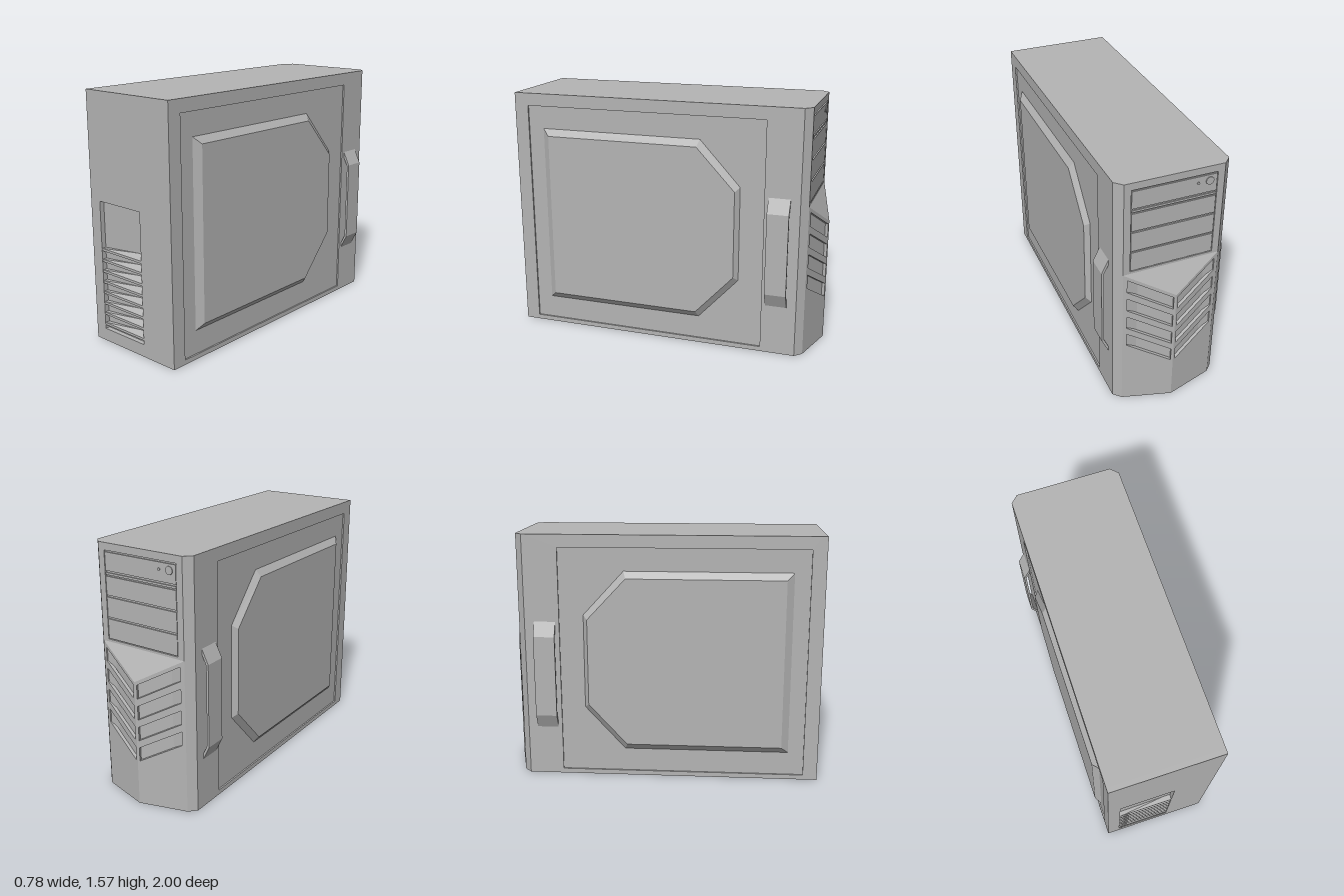
import * as THREE from 'three';

export function createModel() {
  const model = new THREE.Group();
  const grey = new THREE.MeshStandardMaterial({ color: 0xb4b4b4, side: THREE.DoubleSide });
  grey.name = 'case grey';

  const add = (name, geometry, parent = model) => {
    const mesh = new THREE.Mesh(geometry, grey);
    mesh.name = name;
    parent.add(mesh);
    return mesh;
  };
  const vecs = (pts) => pts.map(([x, y]) => new THREE.Vector2(x, y));
  const rect = (x0, y0, x1, y1) => [[x0, y0], [x1, y0], [x1, y1], [x0, y1]];
  // Plate from an outline with holes, running from local z = 0 to depth
  const plate = (outline, holes, depth) => {
    const shape = new THREE.Shape(vecs(outline));
    holes.forEach((h) => shape.holes.push(new THREE.Path(vecs(h))));
    return new THREE.ExtrudeGeometry(shape, { depth, bevelEnabled: false });
  };
  // Upright prism from a footprint of [x, z] points
  const prism = (footprint, height) =>
    plate(footprint.map(([x, z]) => [x, -z]), [], height).rotateX(-Math.PI / 2);
  const box = (x0, x1, y0, y1, z0, z1) => new THREE.BoxGeometry(x1 - x0, y1 - y0, z1 - z0)
    .translate((x0 + x1) / 2, (y0 + y1) / 2, (z0 + z1) / 2);

  const H = 1.57, W = 0.345;

  // Case core, set back behind the framed faces
  add('caseCore', prism([
    [0.335, 0.97], [0.335, -0.87], [W, -0.87], [0.3, -0.915], [0.3, -0.905],
    [-0.3, -0.905], [-0.3, -0.915], [-W, -0.87], [-0.335, -0.87], [-0.335, 0.97],
  ], H));

  // Connector wall with its opening
  add('connectorFrame', plate(rect(-W, 0, W, H), [rect(-0.265, 0.08, 0.088, 0.905)], 0.03)
    .translate(0, 0, 0.97));

  // Expansion slot covers, each rising towards its inner right corner
  for (let i = 0; i < 8; i++) {
    const top = 0.12 + i * 0.0696;
    const g = box(-0.265, 0.088, top - 0.015, top, 0.965, 0.999);
    const p = g.attributes.position;
    for (let k = 0; k < p.count; k++) {
      if (p.getX(k) > 0 && p.getY(k) > top - 0.005 && p.getZ(k) < 0.98) p.setY(k, top + 0.035);
    }
    const flat = g.toNonIndexed();
    flat.computeVertexNormals();
    add('slotCover', flat);
  }

  // Both sides: sunken panel, raised bulge and grip
  for (const s of [1, -1]) {
    const side = new THREE.Group();
    side.name = s > 0 ? 'leftSide' : 'rightSide';
    model.add(side);
    const turn = (s * Math.PI) / 2;
    const zy = (pts) => pts.map(([z, y]) => [-s * z, y]);

    add('sideFrame', plate(zy(rect(0.97, 0, -0.87, H)), [zy(rect(0.91, 0.03, -0.65, 1.49))], 0.01)
      .translate(0, 0, 0.335).rotateY(turn), side);

    const base = zy([[0.81, 0.18], [-0.24, 0.18], [-0.497, 0.46], [-0.497, 1.065], [-0.24, 1.345], [0.81, 1.345]]);
    const face = zy([[0.765, 0.22], [-0.225, 0.22], [-0.47, 0.485], [-0.47, 1.04], [-0.225, 1.302], [0.765, 1.302]]);
    const bulge = plate(base, [], 0.031);
    const p = bulge.attributes.position;
    for (let k = 0; k < p.count; k++) {
      if (p.getZ(k) < 0.01) continue;
      const i = base.findIndex(([x, y]) => Math.hypot(x - p.getX(k), y - p.getY(k)) < 1e-4);
      p.setXY(k, ...face[i]);
    }
    bulge.computeVertexNormals();
    add('sideBulge', bulge.translate(0, 0, 0.335).rotateY(turn), side);

    const band = [[W, 0.32], [0.388, 0.41], [0.388, 0.93], [W, 1.02],
      [W, 0.985], [0.374, 0.923], [0.374, 0.417], [W, 0.355]];
    add('sideGrip', plate(band.map(([x, y]) => [s * x, y]), [], 0.135).translate(0, 0, -0.81), side);
  }

  // Drive bay wall
  add('bayFrame', plate(rect(-0.3, 0, 0.3, H), [rect(-0.258, 0.985, 0.258, 1.525)], 0.01)
    .translate(0, 0, -0.915));
  for (const [y0, y1] of [[0.99, 1.112], [1.124, 1.246], [1.258, 1.372], [1.405, 1.515]]) {
    add('bayCover', box(-0.254, 0.254, y0, y1, -0.914, -0.9));
  }
  add('driveTray', box(-0.254, 0.254, 1.38, 1.393, -0.912, -0.9));
  for (const [x, y, r] of [[-0.21, 1.478, 0.024], [-0.14, 1.475, 0.008]]) {
    add('button', new THREE.CylinderGeometry(r, r, 0.014, 20).rotateX(Math.PI / 2).translate(x, y, -0.912));
  }

  // Pointed lower grille: core, two slotted cheeks and a sloping lid
  const L = Math.hypot(0.3, 0.085), angle = Math.atan2(0.085, 0.3);
  const core = prism([[-0.226, -0.91], [0.226, -0.91], [0, -0.979]], 0.95);
  const cp = core.attributes.position;
  for (let k = 0; k < cp.count; k++) {
    if (cp.getY(k) > 0.5 && cp.getZ(k) < -0.95) cp.setY(k, 0.82);
  }
  core.computeVertexNormals();
  add('grilleCore', core);
  for (const s of [1, -1]) {
    const map = (pts) => pts.map(([u, y]) => [s > 0 ? u : L - u, y]);
    const rise = (u) => ((L - u) * 0.17) / L;
    const a = 0.025, b = L - 0.014, holes = [];
    for (let i = 0; i < 4; i++) {
      const t = 0.775 - 0.135 * i, h = 0.088;
      holes.push(map([[a, t - h + rise(a)], [b, t - h + rise(b)], [b, t + rise(b)], [a, t + rise(a)]]));
    }
    const cheek = add('grilleCheek', plate(map([[0, 0], [L, 0], [L, 0.8], [0, 0.97]]), holes, 0.02)
      .translate(0, 0, -0.02));
    cheek.position.set(s > 0 ? 0.3 : 0, 0, s > 0 ? -0.915 : -1);
    cheek.rotation.y = Math.PI - s * angle;
  }
  const lid = new THREE.BufferGeometry();
  lid.setAttribute('position', new THREE.Float32BufferAttribute(
    [-0.3, 0.97, -0.915, 0.3, 0.97, -0.915, 0, 0.8, -1], 3));
  lid.computeVertexNormals();
  add('grilleLid', lid);

  return model;
}
